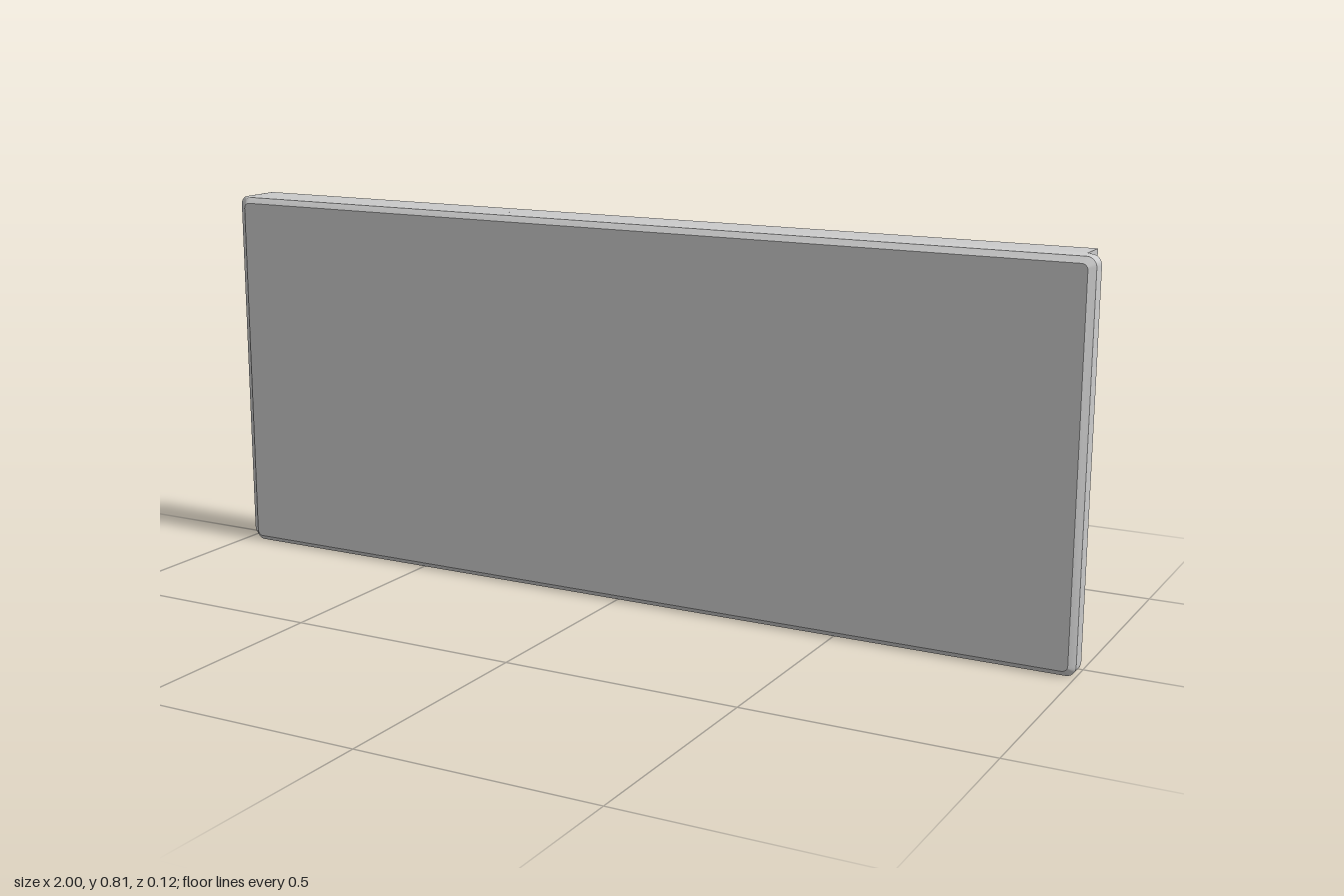
import * as THREE from 'three';
import { toCreasedNormals } from 'three/addons/utils/BufferGeometryUtils.js';

const H = 0.81;      // height of the cover
const RAIL = 0.028;  // rail thickness
const WALL = 0.02;   // end wall thickness

// Quarter-circle corner points, counter-clockwise from angle a0
function corner(cx, cy, r, a0, steps = 6) {
  return Array.from({ length: steps + 1 }, (_, i) => {
    const a = a0 + (i / steps) * Math.PI / 2;
    return new THREE.Vector2(cx + r * Math.cos(a), cy + r * Math.sin(a));
  });
}

function roundedRect(x0, x1, y0, y1, r) {
  const q = Math.PI / 2;
  return [
    ...corner(x0 + r, y0 + r, r, 2 * q),
    ...corner(x1 - r, y0 + r, r, 3 * q),
    ...corner(x1 - r, y1 - r, r, 0),
    ...corner(x0 + r, y1 - r, r, q),
  ];
}

// Joins counter-clockwise outlines stacked from low z to high z, capped at both ends
function loft(sections) {
  const pos = [];
  const put = (p, z) => pos.push(p.x, p.y, z);
  for (let s = 0; s < sections.length - 1; s++) {
    const { z: za, pts: a } = sections[s];
    const { z: zb, pts: b } = sections[s + 1];
    for (let i = 0; i < a.length; i++) {
      const j = (i + 1) % a.length;
      put(a[i], za); put(a[j], za); put(b[j], zb);
      put(a[i], za); put(b[j], zb); put(b[i], zb);
    }
  }
  const cap = ({ z, pts }, back) => {
    for (const f of THREE.ShapeUtils.triangulateShape(pts, [])) {
      for (const k of back ? [f[0], f[2], f[1]] : f) put(pts[k], z);
    }
  };
  cap(sections[0], true);
  cap(sections[sections.length - 1], false);
  const g = new THREE.BufferGeometry();
  g.setAttribute('position', new THREE.Float32BufferAttribute(pos, 3));
  return toCreasedNormals(g, 0.5);
}

// U-shaped outline of both rails and the end wall; the lip has a latch notch
function railOutline(lip) {
  const lower = [[0.97, 0], [0.97, lip], [0.85, lip], [0.85, RAIL], [0.82, RAIL], [0.82, lip], [-1 + WALL, lip]]
    .map(([x, y]) => new THREE.Vector2(x, y));
  const upper = lower.map((p) => new THREE.Vector2(p.x, H - p.y)).reverse();
  const r = 0.02;
  return [
    ...corner(-1 + r, r, r, Math.PI),
    ...lower,
    ...upper,
    ...corner(-1 + r, H - r, r, Math.PI / 2),
  ];
}

export function createModel() {
  const group = new THREE.Group();
  group.name = 'slidingCover';
  const material = new THREE.MeshStandardMaterial({ color: 0xcccccc });
  const add = (name, geometry) => {
    const mesh = new THREE.Mesh(geometry, material);
    mesh.name = name;
    group.add(mesh);
  };

  // Front plate: tapered free end, chamfered front edges, wide chamfer on the wall end
  add('frontPlate', loft([
    { z: 0, pts: roundedRect(-1, 0.985, 0, H, 0.02) },
    { z: 0.015, pts: roundedRect(-1, 1, 0, H, 0.02) },
    { z: 0.028, pts: roundedRect(-1, 1, 0, H, 0.02) },
    { z: 0.049, pts: roundedRect(-0.977, 1, 0, H, 0.02) },
    { z: 0.061, pts: roundedRect(-0.965, 0.987, 0.012, H - 0.012, 0.012) },
  ]));

  // Rails with undercut lips, joined by the end wall
  add('railsAndEndWall', loft([
    { z: -0.061, pts: railOutline(0.056) },
    { z: -0.032, pts: railOutline(RAIL) },
    { z: 0, pts: railOutline(RAIL) },
  ]));

  return group;
}
